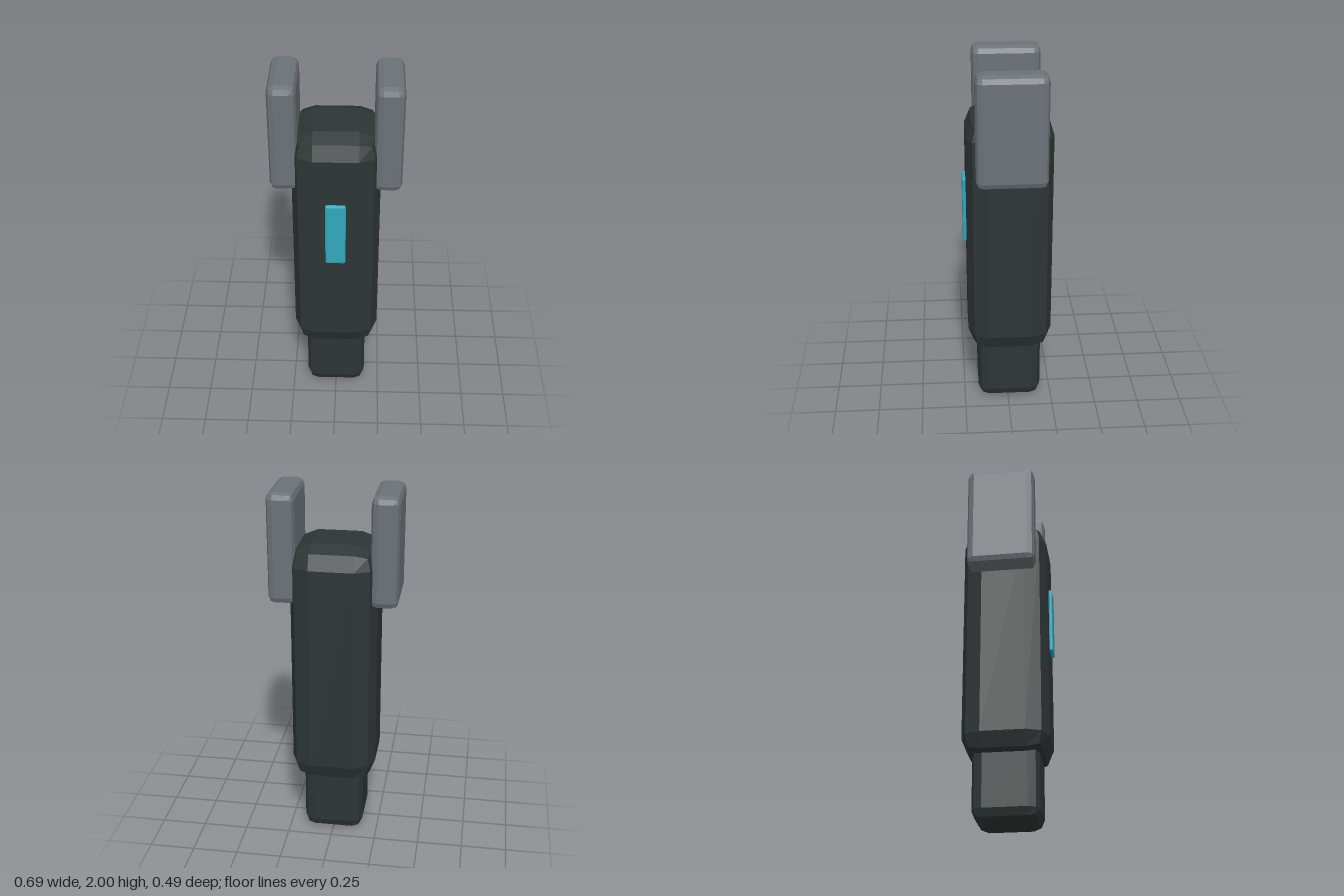
import * as THREE from 'three';

const material = (name, color) => {
  const m = new THREE.MeshStandardMaterial({ color, flatShading: true });
  m.name = name;
  return m;
};

// Box between two corners, every edge rounded by r with two facets
function bevelBox(min, max, r) {
  const lo = new THREE.Vector3(...min), hi = new THREE.Vector3(...max);
  const core = hi.clone().sub(lo).multiplyScalar(0.5).subScalar(r);
  const geometry = new THREE.BoxGeometry(2, 2, 2, 3, 3, 3);
  const pos = geometry.attributes.position;
  const v = new THREE.Vector3(), dir = new THREE.Vector3();
  for (let i = 0; i < pos.count; i++) {
    v.fromBufferAttribute(pos, i);
    // outermost grid lines lean outwards, inner ones bound the flat faces
    dir.set(...v.toArray().map(c => (Math.abs(c) > 0.9 ? Math.sign(c) : 0))).normalize();
    v.set(Math.sign(v.x), Math.sign(v.y), Math.sign(v.z)).multiply(core).addScaledVector(dir, r);
    pos.setXYZ(i, v.x, v.y, v.z);
  }
  const center = lo.add(hi).multiplyScalar(0.5);
  geometry.translate(center.x, center.y, center.z);
  geometry.computeVertexNormals();
  return geometry;
}

export function createModel() {
  const model = new THREE.Group();
  model.name = 'model';
  const dark = material('dark green grey', 0x2d3635);
  const grey = material('steel grey', 0x6b7278);
  const cyan = material('cyan', 0x30a8bd);

  const add = (name, geometry, mat) => {
    const mesh = new THREE.Mesh(geometry, mat);
    mesh.name = name;
    model.add(mesh);
  };

  // Tall main body and the smaller foot under it
  add('body', bevelBox([-0.235, 0.335, -0.246], [0.235, 1.725, 0.224], 0.115), dark);
  add('foot', bevelBox([-0.167, 0, -0.188], [0.167, 0.46, 0.17], 0.06), dark);

  // Upright side plates
  for (const [name, side] of [['leftPlate', 1], ['rightPlate', -1]]) {
    const x = [0.199 * side, 0.347 * side].sort((a, b) => a - b);
    add(name, bevelBox([x[0], 1.395, -0.2], [x[1], 2, 0.176], 0.037), grey);
  }

  // Light strip on the front
  add('frontLight', bevelBox([-0.055, 0.97, 0.222], [0.055, 1.35, 0.244], 0.01), cyan);

  return model;
}
